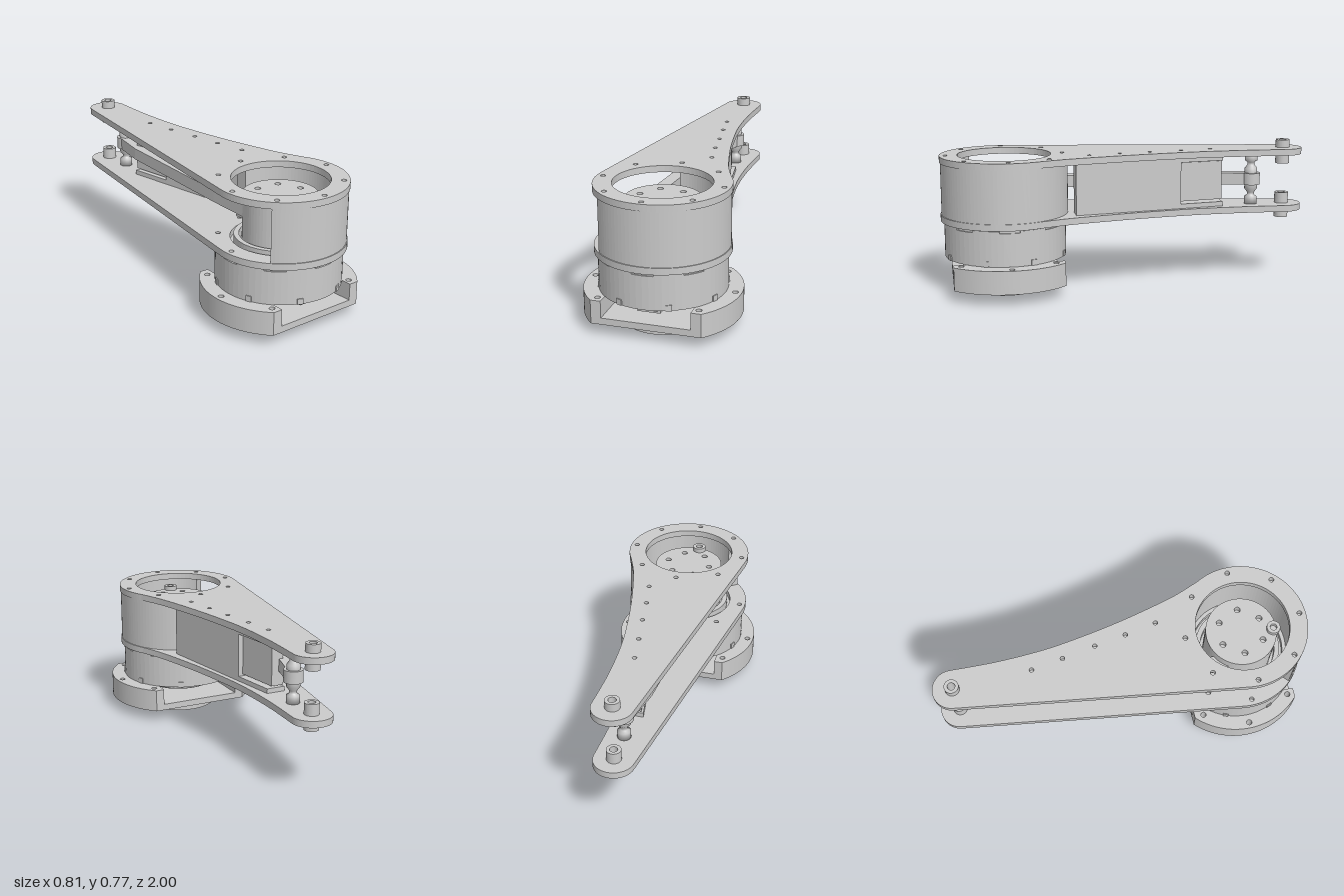
import * as THREE from 'three';

const CZ = 0.655; // z of the main axis
const mat = new THREE.MeshStandardMaterial({ color: 0xcccccc, side: THREE.DoubleSide });

export function createModel() {
  const root = new THREE.Group();

  const add = (name, geo, x = 0, y = 0, z = 0) => {
    const m = new THREE.Mesh(geo, mat);
    m.name = name;
    m.position.set(x, y, z);
    root.add(m);
    return m;
  };
  // Flat shape drawn in (x, -z), raised from y0 to y1
  const slab = (name, shape, y0, y1) => {
    const g = new THREE.ExtrudeGeometry(shape, { depth: y1 - y0, bevelEnabled: false, curveSegments: 32 });
    g.rotateX(-Math.PI / 2);
    return add(name, g, 0, y0, 0);
  };
  const hole = (shape, x, z, r) => {
    shape.holes.push(new THREE.Path().absarc(x, -z, r, 0, Math.PI * 2, true));
  };
  const disc = (r, z = CZ, x = 0) => new THREE.Shape().absarc(x, -z, r, 0, Math.PI * 2, false);
  const ring = (r, inner, z = CZ, x = 0) => {
    const s = disc(r, z, x);
    hole(s, x, z, inner);
    return s;
  };
  const boltCircle = (s, n, r, size, a0 = 0) => {
    for (let i = 0; i < n; i++) {
      const a = a0 + (i * 2 * Math.PI) / n;
      hole(s, r * Math.cos(a), CZ + r * Math.sin(a), size);
    }
  };
  const poly = (pts) => new THREE.Shape(pts.map(([x, z]) => new THREE.Vector2(x, -z)));

  // Two long arm plates: ring end, straight left edge, hollow right edge
  const tilt = 0.155, R = 0.345;
  const armShape = () => {
    const s = new THREE.Shape();
    s.absarc(0, 0.9, 0.105, 0, Math.PI - tilt, false);
    s.absarc(0, -CZ, R, Math.PI - tilt, 2 * Math.PI + 0.5, false);
    s.splineThru([[0.25, -0.35], [0.205, -0.18], [0.165, 0], [0.13, 0.2], [0.105, 0.4], [0.096, 0.65], [0.105, 0.9]]
      .map((p) => new THREE.Vector2(...p)));
    hole(s, 0, CZ, 0.25);
    boltCircle(s, 8, 0.312, 0.013);
    [[0.01, -0.48], [0.035, -0.31], [0.065, -0.13], [0.09, 0.04], [0.12, 0.21]].forEach(([x, z]) => hole(s, x, z, 0.012));
    hole(s, 0, -0.9, 0.02);
    return s;
  };
  slab('lowerArmPlate', armShape(), 0.38, 0.415);
  slab('upperArmPlate', armShape(), 0.695, 0.73);

  // Curved wall joining the plates, open on one side
  const wall = new THREE.Shape();
  wall.absarc(0, -CZ, 0.34, Math.PI + 0.72, 2.5 * Math.PI, false);
  wall.absarc(0, -CZ, 0.27, 2.5 * Math.PI, Math.PI + 0.72, true);
  slab('housingWall', wall, 0.415, 0.695);

  // Spacer between the plates, with a slimmer end
  const lineX = (z) => 0.087 + (z - 0.02) * 0.155;
  const strip = (z0, z1, a, b) => poly([
    [lineX(z0) + a, z0], [lineX(z0) + b, z0], [lineX(z1) + b, z1], [lineX(z1) + a, z1]]);
  slab('armSpacer', strip(0.29, -0.3, -0.05, 0.05), 0.415, 0.695);
  slab('spacerEnd', strip(-0.3, -0.545, -0.04, 0.025), 0.45, 0.665);
  for (const y of [0.415, 0.67]) slab('spacerFlange', strip(-0.3, -0.545, -0.05, 0.05), y, y + 0.025);

  // Push rod with rounded eye, and its pivot pin
  slab('pushRod', poly([[0.035, -0.72], [-0.015, -0.55], [-0.075, 0.3], [-0.09, 0.6],
    [-0.16, 0.6], [-0.145, 0.3], [-0.085, -0.5], [-0.04, -0.72]]), 0.525, 0.59);
  slab('pushRodEye', disc(0.05, -0.72), 0.525, 0.59);
  const pin = [[0, 0.415], [0.035, 0.415], [0.035, 0.455], [0.02, 0.465], [0.02, 0.48], [0.035, 0.5], [0.035, 0.525],
    [0.035, 0.59], [0.035, 0.615], [0.02, 0.635], [0.02, 0.65], [0.035, 0.66], [0.035, 0.695], [0, 0.695]];
  const pinGeo = new THREE.LatheGeometry(pin.map((p) => new THREE.Vector2(...p)), 24);
  add('pivotPin', pinGeo, 0, 0, -0.72);

  // Bushings at the arm tips
  for (const [y0, y1] of [[0.335, 0.475], [0.64, 0.773]]) {
    slab('tipBushing', ring(0.038, 0.02, -0.9), y0, y1);
  }

  // Inner motor with bolted top disc and crank pin
  const top = disc(0.19);
  boltCircle(top, 6, 0.125, 0.016, 0.1);
  slab('innerMotorTop', top, 0.61, 0.65);
  slab('innerMotor', disc(0.19), 0.375, 0.61);
  slab('innerMotorCollar', ring(0.232, 0.205), 0.375, 0.43);
  slab('crankPin', ring(0.036, 0.018, 0.825, -0.025), 0.64, 0.675);

  // Main motor body with a rim seam, raised tabs and lower clips
  slab('motorBody', disc(0.327), 0.187, 0.364);
  slab('motorSeam', disc(0.32), 0.364, 0.382);
  for (let i = 0; i < 8; i++) {
    const a = (i * Math.PI) / 4 + 0.17;
    const tab = new THREE.Shape();
    tab.absarc(0, -CZ, 0.327, a, a + 0.45, false);
    tab.absarc(0, -CZ, 0.3, a + 0.45, a, true);
    slab('rimTab', tab, 0.364, 0.375);
    const c = Math.PI / 8 + (i * Math.PI) / 4;
    const clip = add('motorClip', new THREE.BoxGeometry(0.03, 0.03, 0.012),
      0.326 * Math.sin(c), 0.202, CZ + 0.326 * Math.cos(c));
    clip.rotation.y = c;
  }

  // Motor foot with cable connector
  const foot = [[0, 0.13], [0.19, 0.13], [0.2, 0.14], [0.2, 0.19], [0, 0.19]];
  add('motorFoot', new THREE.LatheGeometry(foot.map((p) => new THREE.Vector2(...p)), 48), 0, 0, CZ);
  add('connector', new THREE.BoxGeometry(0.12, 0.05, 0.06), 0, 0.158, 0.86);
  for (const x of [-0.03, 0.006]) {
    const s = add('connectorPin', new THREE.CylinderGeometry(0.013, 0.013, 0.012, 16), x, 0.16, 0.892);
    s.rotation.x = Math.PI / 2;
  }
  add('connectorKey', new THREE.BoxGeometry(0.018, 0.034, 0.01), 0.036, 0.16, 0.892);

  // Base plate: circle cut flat at front and back
  const BR = 0.405, zBack = 0.36, zFront = 0.945;
  const aBack = Math.asin((CZ - zBack) / BR), aFront = Math.asin((zFront - CZ) / BR);
  const base = new THREE.Shape();
  base.absarc(0, -CZ, BR, -aFront, aBack, false);
  base.absarc(0, -CZ, BR, Math.PI - aBack, Math.PI + aFront, false);
  const baseHoles = (s, side) => [[0.372, 0.65], [0.26, 0.905], [0.27, 0.41]]
    .forEach(([x, z]) => hole(s, side * x, z, 0.015));
  baseHoles(base, 1);
  baseHoles(base, -1);
  slab('basePlate', base, 0.06, 0.095);

  // Raised side walls of the base
  for (const side of [1, -1]) {
    const s = new THREE.Shape();
    const a0 = side > 0 ? -aFront : Math.PI - aBack;
    const a1 = side > 0 ? aBack : Math.PI + aFront;
    s.absarc(0, -CZ, BR, a0, a1, false);
    s.lineTo(side * 0.23, side > 0 ? -zBack : -zFront);
    s.lineTo(side * 0.23, side > 0 ? -zFront : -zBack);
    baseHoles(s, side);
    slab('baseWall', s, 0.095, 0.185);
  }

  // Round mounting boss underneath
  const boss = disc(0.203);
  boltCircle(boss, 6, 0.125, 0.014, 0.1);
  slab('mountingBoss', boss, 0, 0.06);

  return root;
}
